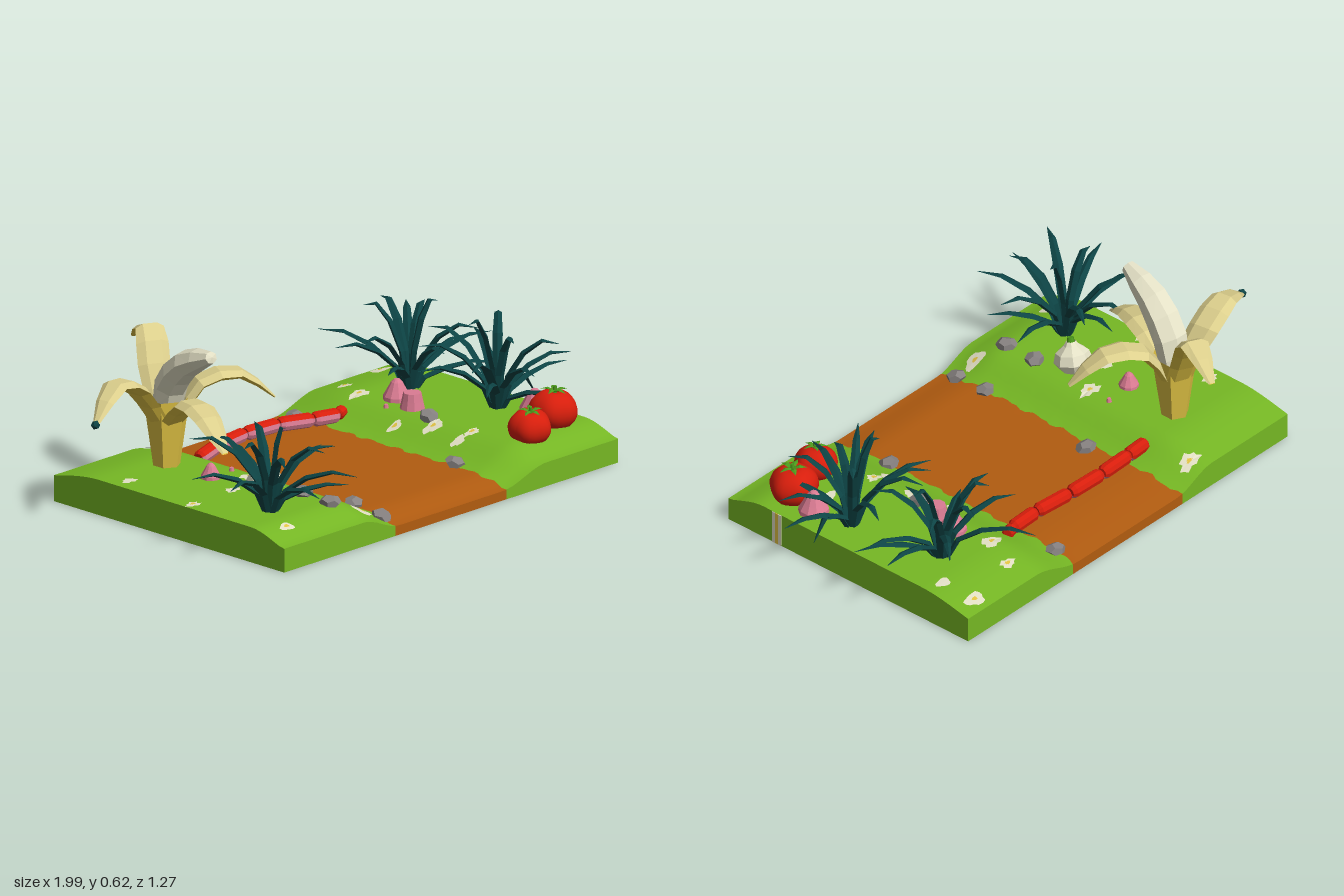
import * as THREE from 'three';

const mat = (name, color, double = false) => {
  const m = new THREE.MeshStandardMaterial({ color });
  m.name = name;
  if (double) m.side = THREE.DoubleSide;
  return m;
};
const V = (x, y, z) => new THREE.Vector3(x, y, z);
const lerp = THREE.MathUtils.lerp;
const step = THREE.MathUtils.smoothstep;

// Ground height: sunken path between two banks, rounded down at front and back
const edgeL = z => -0.3 + 0.006 * Math.sin(z * 47) + 0.004 * Math.sin(z * 91);
const edgeR = z => 0.26 + 0.006 * Math.sin(z * 53 + 1) + 0.004 * Math.sin(z * 83);
function height(x, z) {
  const bank = Math.max(step(-x, 0.28, 0.46), step(x, 0.24, 0.46));
  const drop = Math.max(step(z, 0.38, 0.62), step(-z, 0.36, 0.76)) * 2;
  return 0.06 + 0.07 * bank - lerp(0.018, 0.03, bank) * Math.min(drop, 1.4);
}

// Parametric sheet from a function of u and v
function sheet(nu, nv, fn) {
  const pos = [], idx = [];
  for (let j = 0; j <= nv; j++) for (let i = 0; i <= nu; i++) pos.push(...fn(i / nu, j / nv));
  for (let j = 0; j < nv; j++) for (let i = 0; i < nu; i++) {
    const a = j * (nu + 1) + i, b = a + nu + 1;
    idx.push(a, b, a + 1, a + 1, b, b + 1);
  }
  const g = new THREE.BufferGeometry();
  g.setAttribute('position', new THREE.Float32BufferAttribute(pos, 3));
  g.setIndex(idx);
  g.computeVertexNormals();
  return g;
}

// Tapered solid along a path: first half of the section is group 0, the rest group 1
function loft(path, widths, thick, sides, heading, phase = 0, flat = true) {
  const pos = [], idx = [], n = path.length;
  const S = heading.clone().setY(0).normalize().cross(V(0, 1, 0));
  path.forEach((p, i) => {
    const T = path[Math.min(i + 1, n - 1)].clone().sub(path[Math.max(i - 1, 0)]).normalize();
    const N = S.clone().cross(T).normalize();
    for (let k = 0; k < sides; k++) {
      const a = phase + k / sides * Math.PI * 2;
      const q = p.clone().addScaledVector(S, Math.cos(a) * widths[i])
        .addScaledVector(N, Math.sin(a) * widths[i] * thick);
      pos.push(q.x, q.y, q.z);
    }
  });
  for (let k = 0; k < sides; k++) for (let i = 0; i < n - 1; i++) {
    const a = i * sides + k, b = i * sides + (k + 1) % sides;
    idx.push(a, a + sides, b, b, a + sides, b + sides);
  }
  let g = new THREE.BufferGeometry();
  g.setAttribute('position', new THREE.Float32BufferAttribute(pos, 3));
  g.setIndex(idx);
  const half = idx.length / 2;
  g.addGroup(0, half, 0);
  g.addGroup(half, half, 1);
  if (flat) g = g.toNonIndexed();
  g.computeVertexNormals();
  return g;
}

export function createModel() {
  const root = new THREE.Group();
  const grass = mat('grassGreen', 0x76b824, true), dirt = mat('pathBrown', 0xb25c10, true);
  const teal = mat('bladeTeal', 0x0d4445), red = mat('red', 0xd81e0c), pink = mat('pink', 0xdb7c93);
  const pale = mat('peelPale', 0xdccf8c, true), yellow = mat('peelYellow', 0xe2c444, true);
  const cream = mat('cream', 0xe4e1c6, true), grey = mat('stoneGrey', 0x868180);
  const leaf = mat('leafGreen', 0x4c9a1c);
  const add = (name, geo, m, parent = root) => {
    const mesh = new THREE.Mesh(geo, m);
    mesh.name = name;
    parent.add(mesh);
    return mesh;
  };

  // Ground: tops and outer walls, hollow underneath
  const X0 = -0.86, X1 = 0.82, Z0 = -0.58, Z1 = 0.545;
  [['leftGrass', () => X0, edgeL, grass], ['path', edgeL, edgeR, dirt], ['rightGrass', edgeR, () => X1, grass]]
    .forEach(([name, a, b, m]) => {
      add(name, sheet(18, 48, (u, v) => {
        const z = lerp(Z0, Z1, v), x = lerp(a(z), b(z), u);
        return [x, height(x, z), z];
      }), m);
      for (const z of [Z0, Z1]) add(name + 'Wall', sheet(18, 1, (u, v) => {
        const x = lerp(a(z), b(z), u);
        return [x, height(x, z) * v, z];
      }), m);
    });
  for (const x of [X0, X1]) add('sideWall', sheet(48, 1, (u, v) => {
    const z = lerp(Z0, Z1, u);
    return [x, height(x, z) * v, z];
  }), grass);
  // Pale stripes on the side wall
  [[0.332, cream], [0.318, yellow], [0.304, cream]].forEach(([z, m]) =>
    add('wallStripe', new THREE.BoxGeometry(0.004, 0.128, 0.014), m).position.set(X1 + 0.001, 0.065, z));

  // Ground flowers that follow the terrain
  const blot = (name, x, z, r, lift, m) => add(name, sheet(14, 1, (u, v) => {
    const a = u * Math.PI * 2, R = v * r * (0.8 + 0.28 * Math.sin(a * 5 + x * 9) * Math.cos(a * 2 + z));
    const px = x + R * Math.cos(a) * 1.2, pz = z + R * Math.sin(a) * 0.8;
    return [px, height(px, pz) + lift, pz];
  }), m);
  [[0.73, -0.53], [0.75, -0.4], [0.35, -0.09], [0.4, 0.05], [0.37, 0.2], [0.43, 0.21], [-0.41, -0.52],
    [-0.8, -0.27], [-0.83, 0.07], [-0.38, 0.46], [-0.62, 0.06], [0.5, -0.48], [-0.47, 0.0], [0.62, 0.25],
    [-0.75, 0.45], [0.45, -0.36]].forEach(([x, z], i) => {
    blot('flowerPatch', x, z, i % 3 ? 0.032 : 0.044, 0.004, cream);
    if (i % 3 !== 1) blot('flowerCentre', x, z, 0.012, 0.007, yellow);
  });

  // Stones
  [[0.26, -0.49], [0.435, -0.005], [0.27, 0.285], [-0.475, 0.265], [-0.48, 0.4], [-0.295, 0.335],
    [-0.3, 0.475], [-0.27, -0.16]].forEach(([x, z], i) => {
    const g = new THREE.DodecahedronGeometry(0.038, 0).scale(1.05, 0.65, 0.95);
    const s = add('stone', g, grey);
    s.position.set(x, height(x, z) + 0.008, z);
    s.rotation.set(0.2, i * 1.3, 0.15);
  });
  grey.flatShading = true;

  // Grass clumps: [centre x, z, then blade tips as dx, dz, y]
  [[-0.68, 0.3, [0, -0.29, 0.34], [0.07, -0.28, 0.3], [0.17, -0.24, 0.36], [0.32, -0.06, 0.28], [0.24, 0.09, 0.33],
    [0.2, 0.19, 0.22], [0.11, 0.32, 0.3], [-0.09, 0.33, 0.27], [-0.17, 0.24, 0.38], [-0.31, 0.11, 0.3],
    [-0.29, -0.1, 0.29], [-0.17, -0.23, 0.38], [0.06, 0.02, 0.42], [-0.16, 0.03, 0.4], [0.05, 0.22, 0.38]],
  [0.62, -0.28, [-0.12, -0.33, 0.3], [0.06, -0.2, 0.41], [0.24, -0.25, 0.34], [0.31, -0.02, 0.25], [0.33, 0.08, 0.28],
    [0.27, 0.17, 0.2], [0.13, 0.21, 0.37], [-0.25, -0.12, 0.31], [-0.24, 0, 0.35], [-0.21, 0.1, 0.25],
    [-0.03, 0.2, 0.31], [-0.1, -0.13, 0.43], [0.12, 0.02, 0.43], [0.2, -0.12, 0.38]],
  [0.69, 0.08, [-0.29, -0.11, 0.3], [-0.19, -0.2, 0.35], [-0.07, -0.27, 0.38], [0.14, -0.25, 0.33], [0.12, -0.11, 0.43],
    [0.3, 0.05, 0.24], [0.25, 0.12, 0.3], [0.11, 0.2, 0.38], [-0.08, 0.26, 0.32], [-0.3, 0.24, 0.29],
    [-0.25, 0.12, 0.34], [0.05, 0.3, 0.22], [-0.11, -0.03, 0.45], [0.18, 0.02, 0.13], [-0.04, 0.12, 0.4]]]
    .forEach(([cx, cz, ...tips]) => {
      const clump = new THREE.Group();
      clump.name = 'grassClump';
      root.add(clump);
      tips.forEach(([dx, dz, y]) => {
        const at = (t, h) => V(cx + dx * t, h, cz + dz * t), rise = Math.max(y - 0.13, 0.08);
        const path = [at(0.03, 0.1), at(0.17, 0.13 + rise * 0.45), at(0.42, 0.13 + rise * 0.82),
          at(0.72, 0.13 + rise * 1.03), at(1, y)];
        add('blade', loft(path, [0.014, 0.017, 0.018, 0.013, 0.001], 0.55, 4, V(dx, 0, dz)), [teal, teal], clump);
      });
    });

  // Peeled banana
  const banana = new THREE.Group();
  banana.name = 'peeledBanana';
  root.add(banana);
  const bx = -0.57, bz = -0.31;
  yellow.flatShading = true;
  const body = add('bananaBase', new THREE.CylinderGeometry(0.085, 0.048, 0.26, 6, 1, true), yellow, banana);
  body.position.set(bx, 0.25, bz);
  [[[-0.52, 0.46, -0.42], [-0.46, 0.565, -0.5], [-0.4, 0.49, -0.635]],
    [[-0.7, 0.43, -0.33], [-0.83, 0.48, -0.31], [-0.99, 0.39, -0.25]],
    [[-0.46, 0.42, -0.26], [-0.33, 0.44, -0.19], [-0.22, 0.34, -0.125]],
    [[-0.6, 0.39, -0.17], [-0.66, 0.38, -0.02], [-0.71, 0.3, 0.11]]].forEach(([a, b, c], i) => {
    const tip = V(...c), head = tip.clone().sub(V(bx, 0, bz)).setY(0), h = head.clone().normalize();
    const start = V(bx, 0.3, bz).addScaledVector(h, 0.045);
    const path = new THREE.CatmullRomCurve3([start, V(...a), V(...b), tip]).getPoints(6);
    add('peel', loft(path, [0.05, 0.055, 0.06, 0.06, 0.052, 0.038, 0.012], 0.35, 6, head), [pale, yellow], banana);
    if (i === 1) add('peelTip', new THREE.IcosahedronGeometry(0.017, 0), teal, banana).position.copy(tip);
  });
  const fruit = new THREE.CatmullRomCurve3([V(bx, 0.3, bz), V(-0.58, 0.43, -0.28), V(-0.6, 0.54, -0.18),
    V(-0.625, 0.6, -0.04)]).getPoints(6);
  fruit.push(fruit[6].clone().add(V(0, 0.002, 0.005)));
  add('bananaFruit', loft(fruit, [0.05, 0.06, 0.066, 0.066, 0.06, 0.048, 0.026, 0], 0.85, 7, V(-0.1, 0, 1)),
    [cream, cream], banana);

  // Segmented worm, red above and pink below
  const worm = new THREE.Group();
  worm.name = 'worm';
  root.add(worm);
  const joints = [[-0.39, 0.1, -0.33], [-0.28, 0.115, -0.35], [-0.125, 0.122, -0.362], [0.035, 0.119, -0.355],
    [0.185, 0.107, -0.33], [0.305, 0.096, -0.325], [0.345, 0.1, -0.34]].map(p => V(...p));
  joints.slice(1).forEach((b, i) => {
    const a = joints[i], r = i === 5 ? 0.022 : 0.027;
    const path = [0.02, 0.021, 0.12, 0.88, 0.979, 0.98].map(t => a.clone().lerp(b, t));
    add('wormSegment', loft(path, [0, 0.7, 1, 1, 0.7, 0].map(w => w * r), 1, 10, b.clone().sub(a), 0.5),
      [red, i === 5 ? red : pink], worm);
  });

  // Tomatoes with leafy crowns
  [[0.535, 0.165, 0.39, 0.076, 0.15, 0.1], [0.7, 0.178, 0.345, 0.086, 0.05, -0.05]].forEach(([x, y, z, r, tx, tz]) => {
    const g = new THREE.SphereGeometry(1, 24, 14), p = g.attributes.position;
    for (let i = 0; i < p.count; i++) {
      const q = V(0, 0, 0).fromBufferAttribute(p, i), rad = Math.hypot(q.x, q.z);
      const lobe = 1 + 0.04 * rad * Math.cos(5 * Math.atan2(q.z, q.x));
      p.setXYZ(i, q.x * lobe, q.y * 0.86 - 0.14 * Math.max(0, 1 - rad * 2.4) * Math.sign(q.y), q.z * lobe);
    }
    g.computeVertexNormals();
    const t = new THREE.Group();
    t.name = 'tomato';
    add('tomatoFruit', g, red, t);
    add('tomatoStem', new THREE.CylinderGeometry(0.07, 0.1, 0.3, 6), leaf, t).position.y = 0.88;
    for (let k = 0; k < 5; k++) {
      const a = k * Math.PI * 0.4 + 0.3, d = V(Math.cos(a), 0, Math.sin(a));
      const path = [[0.02, 0.8], [0.3, 0.9], [0.6, 0.84]].map(([s, h]) => d.clone().multiplyScalar(s).setY(h));
      add('sepal', loft(path, [0.08, 0.12, 0.005], 0.4, 4, d), [leaf, leaf], t);
    }
    t.position.set(x, y, z);
    t.rotation.set(tx, 0, tz);
    t.scale.setScalar(r);
    root.add(t);
  });

  // Pink mushrooms: bells and flat-topped cups
  const bell = [[0.55, 0], [1, 0.12], [0.98, 0.4], [0.72, 0.85], [0.42, 1.4], [0.2, 1.62], [0, 1.66]];
  const cup = [[1, 0], [0.85, 0.65], [0.72, 1.3], [0, 1.3]];
  [[0.73, 0.225, 0.055, bell], [0.49, -0.215, 0.05, bell], [0.47, -0.12, 0.045, cup], [-0.58, -0.085, 0.036, bell],
    [-0.465, -0.095, 0.01, cup], [0.42, -0.2, 0.01, cup]].forEach(([x, z, r, prof]) => {
    const g = new THREE.LatheGeometry(prof.map(([a, b]) => new THREE.Vector2(a * r, b * r)), 10);
    add('mushroom', g, pink).position.set(x, height(x, z), z);
  });
  pink.flatShading = true;

  // Pale bulb lying among the stones
  const bulb = new THREE.Group();
  bulb.name = 'bulb';
  const prof = [[0, -0.05], [0.045, -0.035], [0.07, 0], [0.06, 0.035], [0.028, 0.06], [0.018, 0.075]];
  cream.flatShading = true;
  add('bulbBody', new THREE.LatheGeometry(prof.map(q => new THREE.Vector2(...q)), 8), cream, bulb);
  add('bulbSprout', new THREE.CylinderGeometry(0.012, 0.016, 0.03, 6), leaf, bulb).position.y = 0.075;
  bulb.position.set(-0.54, 0.155, 0.14);
  bulb.rotation.set(0.25, 0, 0.1);
  root.add(bulb);
  return root;
}
